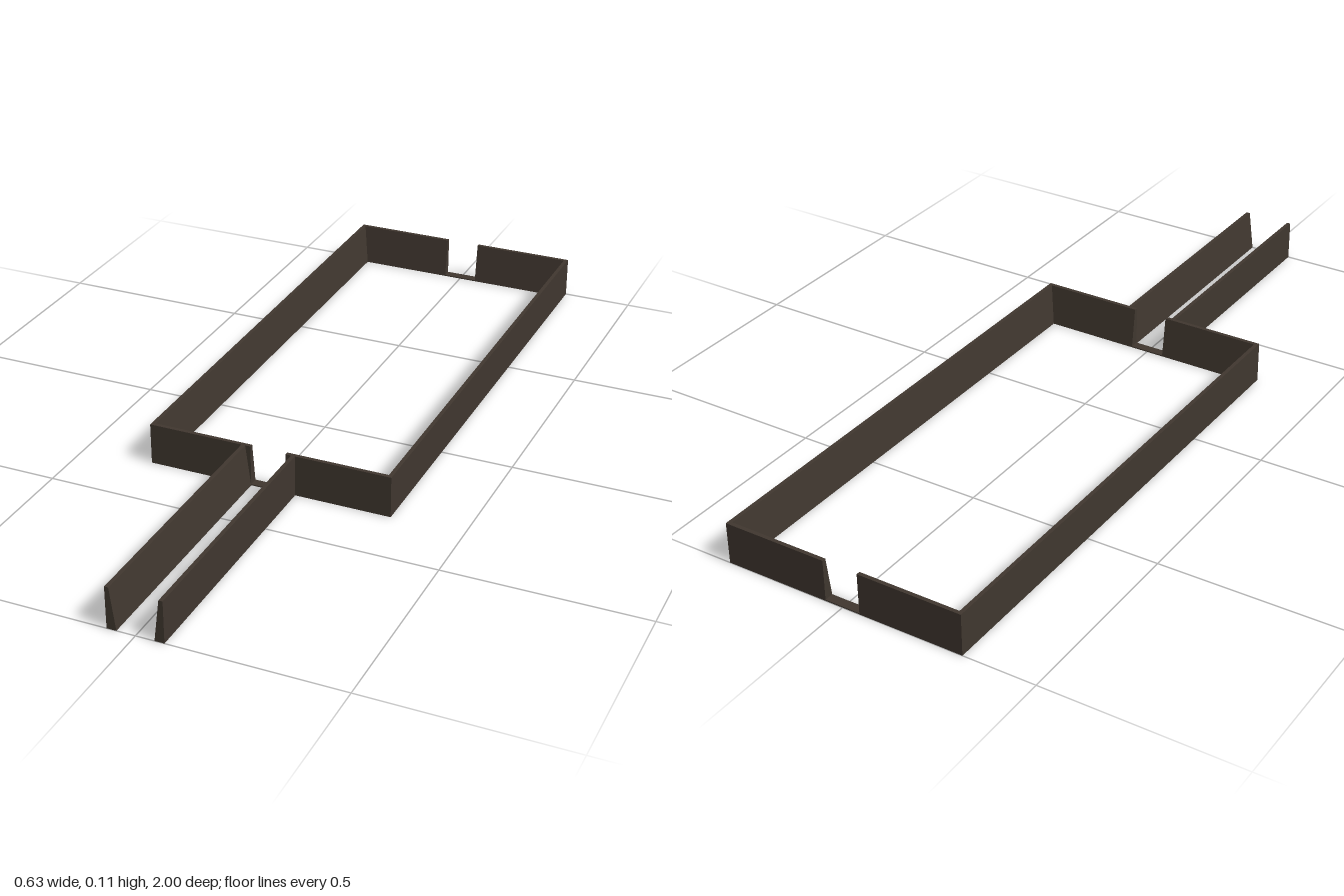
import * as THREE from 'three';

const H = 0.107;        // wall height
const TOP = 0.01;       // wall thickness at the top
const BASE = 0.024;     // wall thickness at the foot
const W = 0.316;        // half width of the frame
const FRONT = 0.335, BACK = -1;
const GAP = 0.046;      // half width of the openings
const RAIL = GAP + BASE; // outer face of the rails

// Sweeps the tapered wall profile along stations [x, z, inward x, inward z].
function wallGeometry(stations) {
  const rings = stations.map(([x, z, ix, iz]) =>
    [[0, 0], [0, H], [TOP, H], [BASE, 0]].map(([t, y]) => [x + ix * t, y, z + iz * t]));
  const pos = [];
  const quad = (a, b, c, d) => pos.push(...a, ...b, ...c, ...a, ...c, ...d);
  for (let i = 0; i < rings.length - 1; i++) {
    for (let k = 0; k < 4; k++) {
      const n = (k + 1) % 4;
      quad(rings[i][k], rings[i + 1][k], rings[i + 1][n], rings[i][n]);
    }
  }
  quad(...rings[0]);
  quad(...[...rings[rings.length - 1]].reverse());
  const geo = new THREE.BufferGeometry();
  geo.setAttribute('position', new THREE.Float32BufferAttribute(pos, 3));
  geo.computeVertexNormals();
  return geo;
}

// Mirrors a path to the other side, reversing it so faces still point outward.
const mirrorPath = (path) => path.map(([x, z, ix, iz]) => [-x, z, -ix, iz]).reverse();

export function createModel() {
  const group = new THREE.Group();
  const darkBrown = new THREE.MeshStandardMaterial({ color: 0x40372f });
  darkBrown.name = 'darkBrown';

  const add = (name, geo) => {
    const mesh = new THREE.Mesh(geo, darkBrown);
    mesh.name = name;
    group.add(mesh);
    return mesh;
  };

  // Half of the rectangular frame, from the front opening to the back one
  const halfFrame = [
    [GAP, FRONT, 0, -1], [W, FRONT, -1, -1], [W, BACK, -1, 1], [GAP, BACK, 0, 1],
  ];
  // Long rail running forward from the front opening
  const rail = [[RAIL, 1, -1, 0], [RAIL, FRONT, -1, 0]];

  add('leftFrameWall', wallGeometry(halfFrame));
  add('rightFrameWall', wallGeometry(mirrorPath(halfFrame)));
  add('leftRail', wallGeometry(rail));
  add('rightRail', wallGeometry(mirrorPath(rail)));

  // Thin sills across the openings
  for (const [name, z] of [['frontSill', FRONT - BASE / 2], ['backSill', BACK + BASE / 2]]) {
    add(name, new THREE.BoxGeometry(GAP * 2, 0.003, BASE)).position.set(0, 0.0015, z);
  }
  return group;
}
